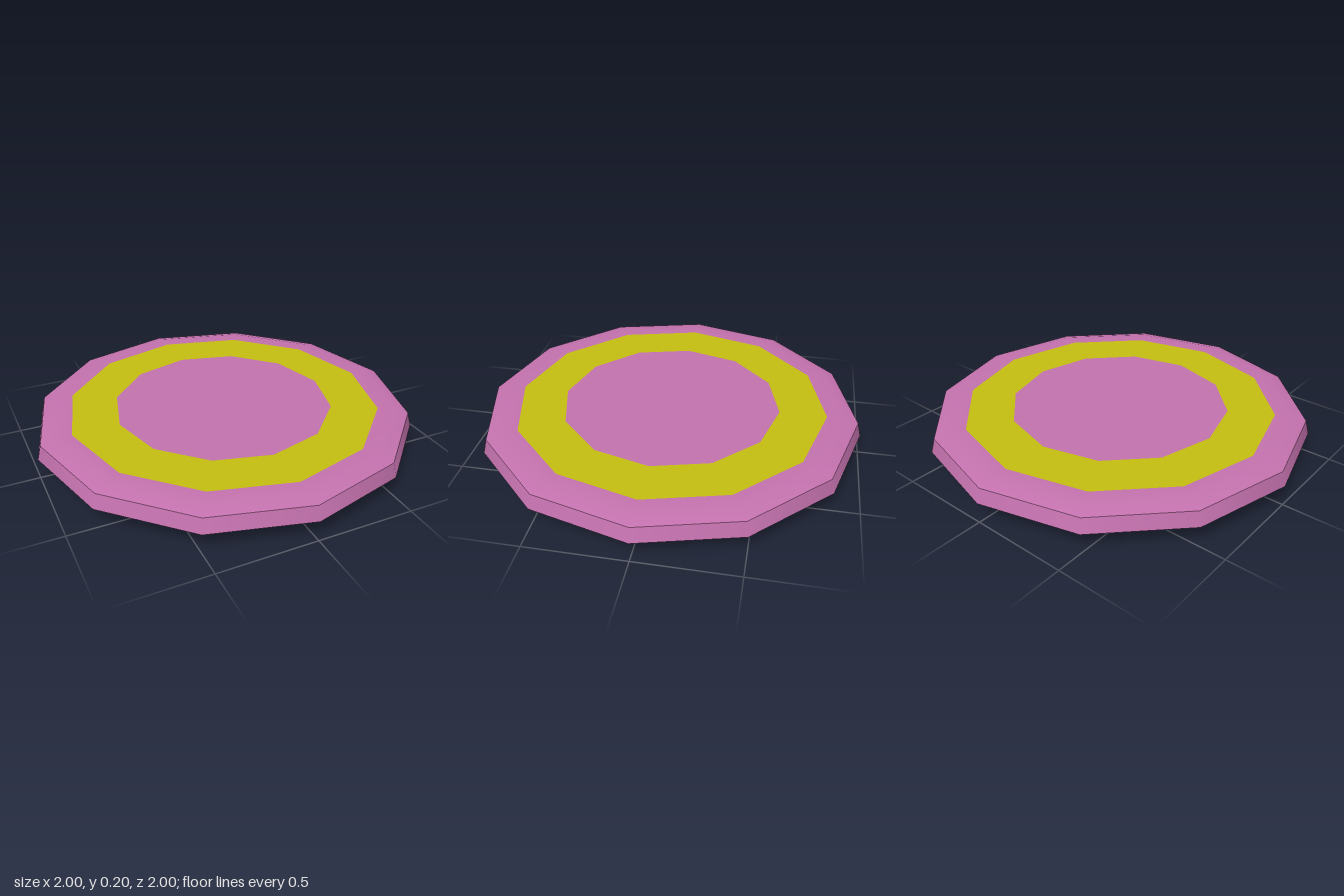
import * as THREE from 'three';

const SIDES = 12;

export function createModel() {
  const group = new THREE.Group();
  const pink = new THREE.MeshStandardMaterial({ color: 0xc472ae });
  const yellow = new THREE.MeshStandardMaterial({ color: 0xc4be10 });

  // Each band is its own lathe, so shading is smooth within it and creased at its edges
  const addBand = (name, material, profile) => {
    const points = profile.map(([r, y]) => new THREE.Vector2(r, y));
    const mesh = new THREE.Mesh(new THREE.LatheGeometry(points, SIDES), material);
    mesh.name = name;
    group.add(mesh);
  };

  // Shallow rounded underside
  addBand('underside', pink, [[0, 0], [0.6, 0.003], [0.905, 0.03], [1, 0.105]]);
  // Outer wall and bevelled shoulder
  addBand('outerWall', pink, [[1, 0.105], [0.98, 0.18]]);
  addBand('topShoulder', pink, [[0.98, 0.18], [0.91, 0.2], [0.82, 0.2]]);
  // Flat top: coloured ring around a plain centre
  addBand('topRing', yellow, [[0.82, 0.2], [0.575, 0.2]]);
  addBand('topCentre', pink, [[0.575, 0.2], [0, 0.2]]);

  return group;
}
